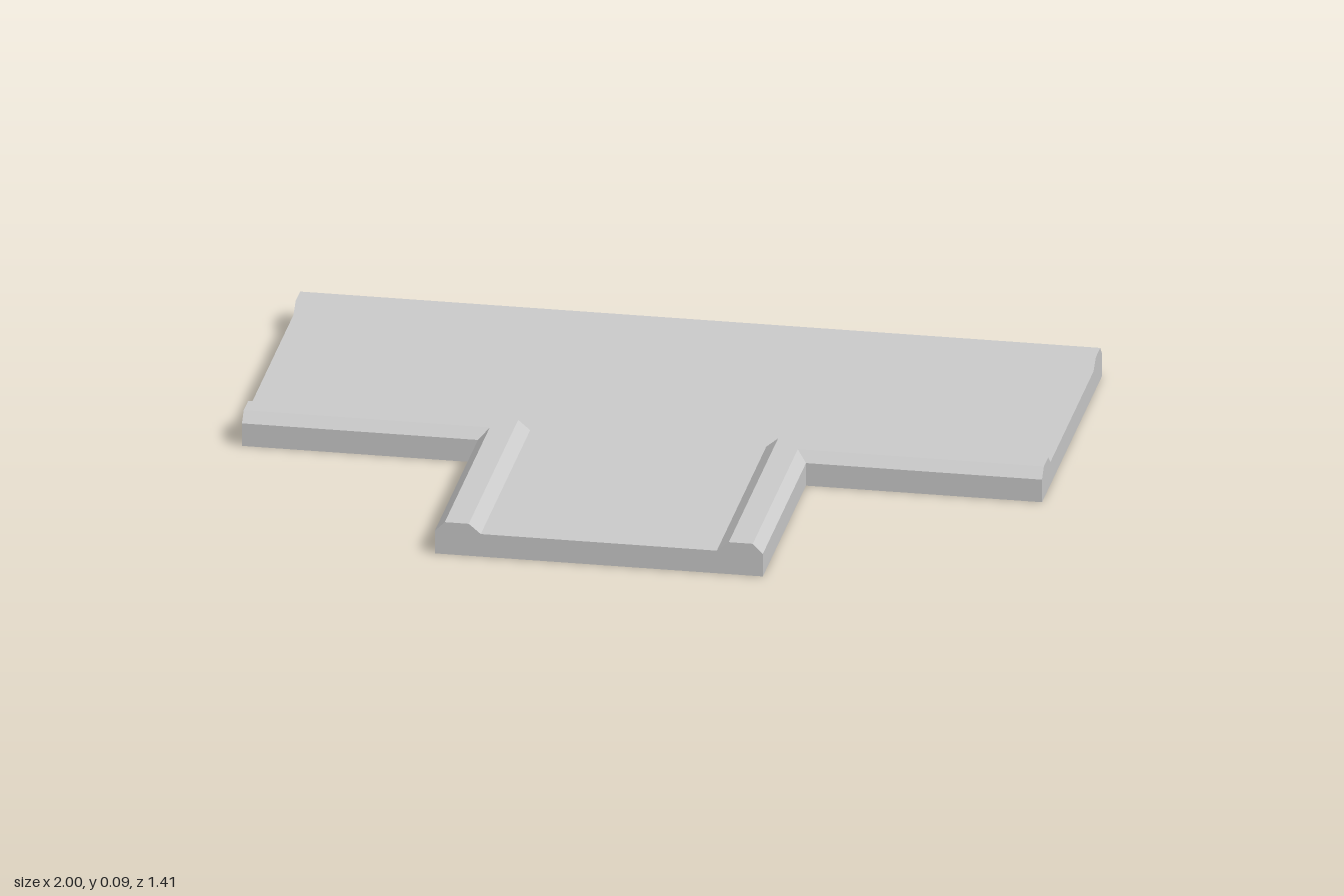
import * as THREE from 'three';

const material = new THREE.MeshStandardMaterial({ color: 0xcccccc, flatShading: true });
const FLOOR = 0.06, TOP = 0.085, END = 0.705;

// Skin a run of four-point cross-sections (outer foot, two top edges, inner foot) and cap both ends
function curb(name, sections, mirrored = false) {
  const pos = [];
  const v = (p) => new THREE.Vector3(...p);
  const tri = (a, b, c) => {
    const area = v(b).sub(v(a)).cross(v(c).sub(v(a))).length();
    if (area < 1e-8) return; // shared corner points
    pos.push(...a, ...(mirrored ? [...c, ...b] : [...b, ...c]));
  };
  const quad = (a, b, c, d) => { tri(a, b, c); tri(a, c, d); };
  for (let i = 0; i < sections.length - 1; i++) {
    const s = sections[i], t = sections[i + 1];
    for (let k = 0; k < 3; k++) quad(s[k], s[k + 1], t[k + 1], t[k]);
  }
  quad(...[...sections[0]].reverse());
  quad(...sections[sections.length - 1]);
  const geometry = new THREE.BufferGeometry();
  geometry.setAttribute('position', new THREE.Float32BufferAttribute(pos, 3));
  geometry.computeVertexNormals();
  const mesh = new THREE.Mesh(geometry, material);
  mesh.name = name;
  return mesh;
}

// Four profile points from plan positions [x, z]
const section = (plan) => plan.map(([x, z], k) => [x, k === 1 || k === 2 ? TOP : FLOOR, z]);

export function createModel() {
  const group = new THREE.Group();
  group.name = 'roadJunction';

  // T-shaped road slab, drawn in plan and laid flat
  const plan = [[-1, -END], [1, -END], [1, 0.115], [0.41, 0.115], [0.41, END],
    [-0.41, END], [-0.41, 0.115], [-1, 0.115]];
  const shape = new THREE.Shape(plan.map(([x, z]) => new THREE.Vector2(x, -z)));
  const slabGeometry = new THREE.ExtrudeGeometry(shape, { depth: FLOOR, bevelEnabled: false });
  slabGeometry.rotateX(-Math.PI / 2);
  const slab = new THREE.Mesh(slabGeometry, material);
  slab.name = 'roadSlab';
  group.add(slab);

  // Straight curb along the back
  const backZ = [-END, -0.68, -0.62, -0.588];
  group.add(curb('backCurb', [-1, 1].map((x) => section(backZ.map((z) => [x, z])))));

  // Curbs turning from the main road into the side road, with a clipped inner corner
  const z = [0.115, 0.09, 0.03, 0];
  const x = [0.41, 0.385, 0.325, 0.295];
  for (const s of [1, -1]) {
    const corner = [[x[0], z[0]], [x[1], z[1]], [x[2], z[2]]];
    const plans = [
      z.map((d) => [1, d]),
      [...corner, [x[2], z[3]]],
      [...corner, [x[3], z[2]]],
      x.map((d) => [d, END]),
    ];
    const sections = plans.map((p) => section(p.map(([px, pz]) => [s * px, pz])));
    group.add(curb(s > 0 ? 'leftCornerCurb' : 'rightCornerCurb', sections, s < 0));
  }
  return group;
}
